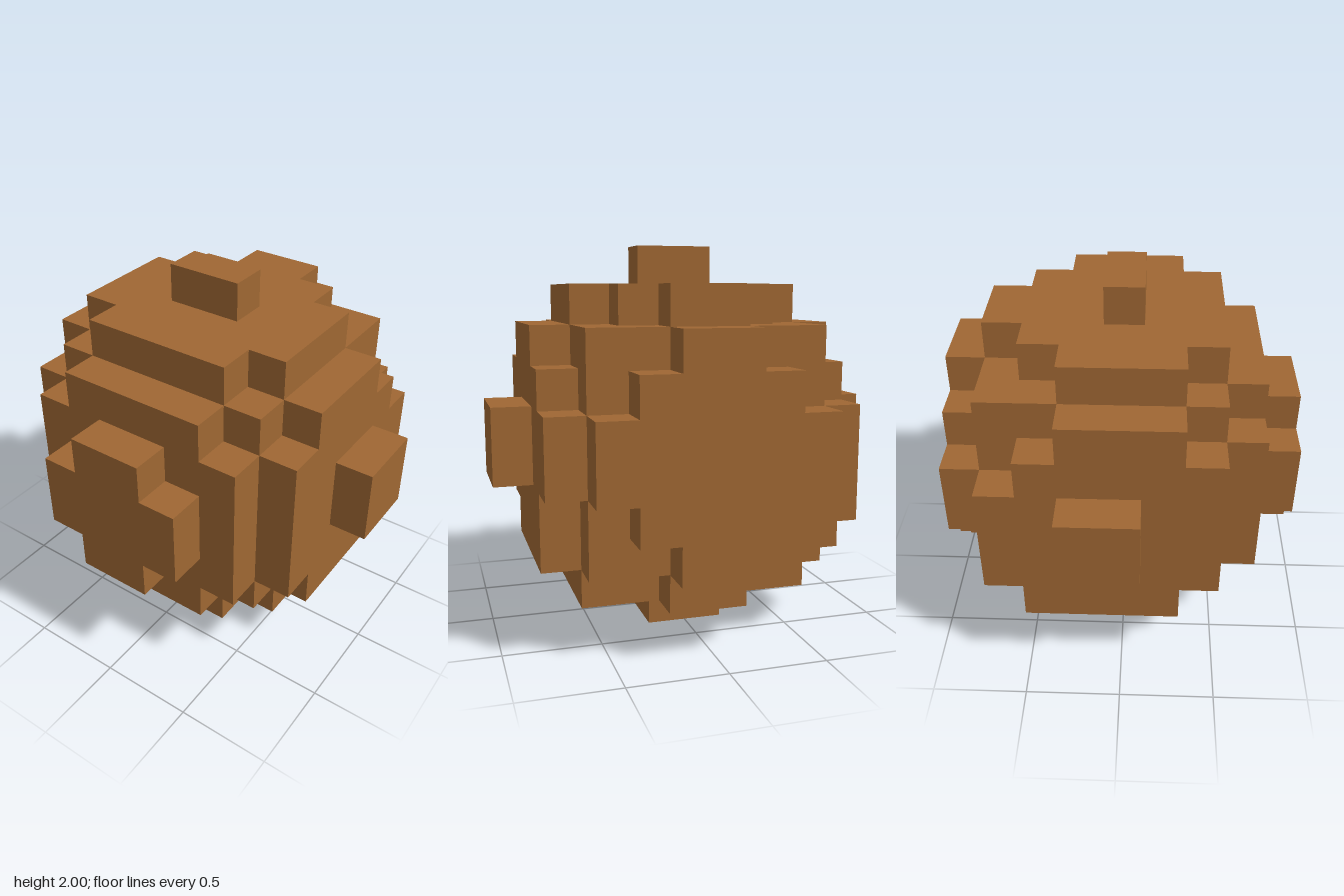
import * as THREE from 'three';
import { mergeGeometries } from 'three/addons/utils/BufferGeometryUtils.js';

const CELL = 0.2;
const COUNT = 10;

// A cell is solid when its centre lies inside a slightly off-centre sphere
function isSolid(i, j, k) {
  if (i === 7 && j === 3 && k === 1) return true; // lone extra block low on the back
  const u = i - 4.5, v = j - 4.5, w = k - 4.5;
  return (u + 0.25) ** 2 + (v + 0.05) ** 2 + w ** 2 <= 21.415;
}

// One outward square per cell side: neighbour offset and a plane turned to face it
function makeSides() {
  const H = Math.PI / 2;
  return [
    [[1, 0, 0], 'rotateY', H], [[-1, 0, 0], 'rotateY', -H],
    [[0, 1, 0], 'rotateX', -H], [[0, -1, 0], 'rotateX', H],
    [[0, 0, 1], 'rotateY', 0], [[0, 0, -1], 'rotateY', Math.PI],
  ].map(([dir, turn, angle]) => {
    const plane = new THREE.PlaneGeometry(CELL, CELL)[turn](angle);
    plane.translate(...dir.map((d) => (d * CELL) / 2));
    return { dir, plane };
  });
}

export function createModel() {
  const group = new THREE.Group();
  group.name = 'blockBall';
  const brown = new THREE.MeshStandardMaterial({ color: 0x9f6733 });
  brown.name = 'brown';

  // Collect only the exposed sides of the solid cells
  const sides = makeSides();
  const faces = [];
  for (let i = 0; i < COUNT; i++)
    for (let j = 0; j < COUNT; j++)
      for (let k = 0; k < COUNT; k++) {
        if (!isSolid(i, j, k)) continue;
        for (const { dir, plane } of sides) {
          if (isSolid(i + dir[0], j + dir[1], k + dir[2])) continue;
          faces.push(plane.clone().translate(
            (i - 4) * CELL, (j + 0.5) * CELL, (k - 4.5) * CELL));
        }
      }

  const ball = new THREE.Mesh(mergeGeometries(faces), brown);
  ball.name = 'steppedBall';
  group.add(ball);
  return group;
}
